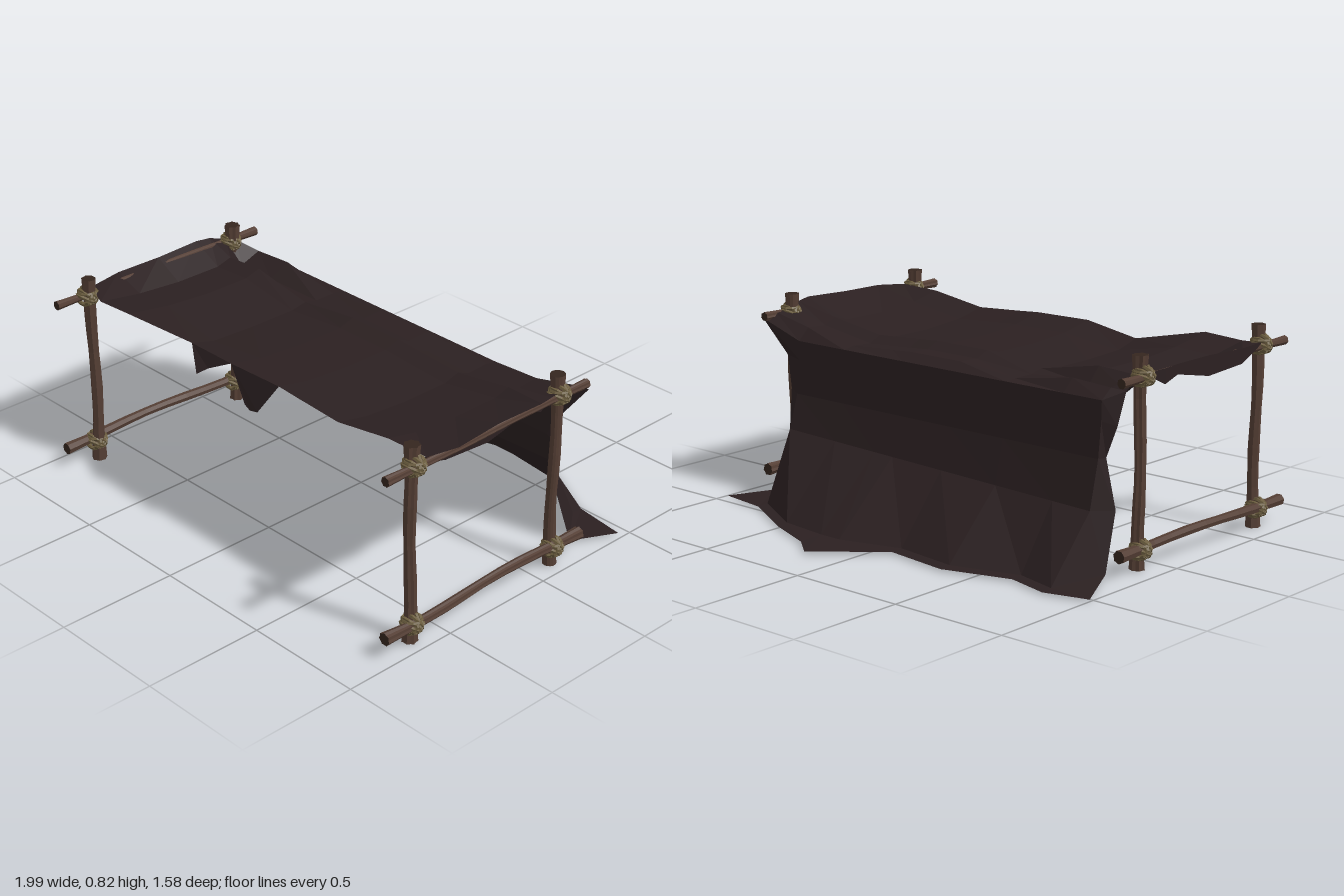
import * as THREE from 'three';

const mat = (name, color, extra = {}) => {
  const m = new THREE.MeshStandardMaterial({ color, flatShading: true, ...extra });
  m.name = name;
  return m;
};

export function createModel() {
  const wood = mat('bark brown', 0x543e34);
  const cutWood = mat('dark cut end', 0x35261f);
  const rope = mat('rope olive', 0x6a5c3e);
  const cloth = mat('dark cloth', 0x2b2021, { side: THREE.DoubleSide });
  const model = new THREE.Group();
  model.name = 'leanToShelter';

  const add = (name, geo, material, parent = model) => {
    const m = new THREE.Mesh(geo, material);
    m.name = name;
    parent.add(m);
    return m;
  };

  // Crooked stick with ridged bark, thicker at the ends
  const stick = (name, length, r, bend, seed) => {
    const geo = new THREE.CylinderGeometry(1, 1, length, 14, 10);
    const p = geo.attributes.position;
    for (let i = 0; i < p.count; i++) {
      const x = p.getX(i), y = p.getY(i), z = p.getZ(i), t = y / length + 0.5;
      const ridge = 1 + 0.1 * Math.cos(Math.atan2(x, z) * 7 + seed);
      const rad = r * ridge * (0.88 + 0.3 * Math.pow(Math.abs(2 * t - 1), 4) + 0.05 * Math.sin(t * 17 + seed));
      const arc = Math.sin(Math.PI * t);
      p.setXYZ(i, x * rad + bend * arc * Math.sin(5 * t + seed), y,
        z * rad + bend * arc * Math.cos(4 * t + seed));
    }
    geo.computeVertexNormals();
    return add(name, geo, [wood, cutWood, cutWood]);
  };

  // Diagonal rope wraps around a crossing
  const lashing = (x, y, z) => {
    const g = new THREE.Group();
    g.name = 'lashing';
    g.position.set(x, y, z);
    for (const side of [-1, 1]) {
      for (const k of [-1, 0, 1]) {
        const a = side * Math.PI / 4 + k * 0.22;
        const ring = add('ropeWrap', new THREE.TorusGeometry(0.039, 0.008, 5, 10), rope, g);
        ring.rotation.x = a;
        ring.position.set(0, -Math.sin(a) * 0.012 * k, Math.cos(a) * 0.012 * k);
      }
      const band = add('ropeBand', new THREE.TorusGeometry(0.036, 0.007, 5, 10), rope, g);
      band.rotation.x = Math.PI / 2;
      band.position.y = side * 0.02;
    }
    model.add(g);
  };

  // Two side frames: front and back posts, upper and lower rails
  const frames = [
    { side: 'right', post: -0.893, rail: -0.92, z: [0.645, -0.105], seed: 1 },
    { side: 'left', post: 0.928, rail: 0.95, z: [0.638, -0.112], seed: 2.6 },
  ];
  for (const f of frames) {
    f.z.forEach((z, i) => {
      stick(f.side + (i ? 'BackPost' : 'FrontPost'), 0.82, 0.0245, 0.009, f.seed + i * 2)
        .position.set(f.post, 0.418, z);
      for (const y of [0.087, 0.748]) lashing((f.post + f.rail) / 2, y, z);
    });
    [0.093, 0.746].forEach((y, i) => {
      const rail = stick(f.side + (i ? 'UpperRail' : 'LowerRail'), 1.04, i ? 0.0155 : 0.0205, i ? 0.003 : 0.011, f.seed + i);
      rail.rotation.x = Math.PI / 2;
      rail.position.set(f.rail, y, 0.268);
    });
  }

  // Draped sheet: inner columns with front edge heights, front depths and ground depths
  const X = [-0.82, -0.64, -0.36, -0.08, 0.18, 0.28, 0.5, 0.76];
  const top = [0.752, 0.762, 0.71, 0.742, 0.742, 0.735, 0.722, 0.762];
  const frontZ = [0.645, 0.645, 0.56, 0.6, 0.59, 0.59, 0.59, 0.59];
  const groundZ = [-0.57, -0.525, -0.61, -0.575, -0.79, -0.71, -0.625, -0.485];
  const sag = (d, extra = 0) => top.map((h, i) => Math.max(0.672, h - d - (i < 3 ? extra : 0)));
  const all = v => X.map(() => v);
  const row = (rightEnd, leftEnd, ys, zs) => [rightEnd, ...X.map((x, i) => [x, ys[i], zs[i]]), leftEnd];

  const roof = [
    row([-0.93, 0.765, 0.61], [0.955, 0.768, 0.59], top, frontZ),
    row([-0.955, 0.77, 0.45], [0.992, 0.775, 0.47], sag(0.03), all(0.45)),
    row([-0.945, 0.775, 0.25], [0.978, 0.78, 0.25], sag(0.045), all(0.25)),
    row([-0.955, 0.778, 0.04], [0.99, 0.785, 0.04], sag(0.045), all(0.04)),
    row([-0.95, 0.772, -0.03], [0.975, 0.778, -0.03], sag(0.025), all(-0.03)),
    row([-0.92, 0.758, -0.09], [0.955, 0.765, -0.09], sag(0.05, 0.04), all(-0.09)),
  ];
  const wall = [
    row([-0.9, 0.75, -0.13], [0.945, 0.758, -0.19], sag(0.045), all(-0.185)),
    row([-0.88, 0.7, -0.17], [0.975, 0.735, -0.235], all(0.668), all(-0.238)),
    row([-0.865, 0.57, -0.2], [0.868, 0.59, -0.2], all(0.59), all(-0.24)),
    row([-0.83, 0.45, -0.22], [0.828, 0.46, -0.22], all(0.45), all(-0.255)),
    row([-0.862, 0.25, -0.2], [0.79, 0.35, -0.235], X.map(x => 0.286 + 0.03 * x), all(-0.3)),
    row([-0.87, 0.02, -0.265], [0.89, 0.02, -0.27], all(0.02), groundZ.map(z => Math.max(-0.6, z + 0.05))),
    row([-1, 0.016, -0.52], [0.98, 0.016, -0.455], all(0.016), groundZ),
  ];

  // Surface through equal-length rows of points
  const loft = (name, lines) => {
    const geo = new THREE.BufferGeometry();
    const idx = [], n = lines[0].length;
    for (let r = 0; r < lines.length - 1; r++) {
      for (let c = 0; c < n - 1; c++) {
        const a = r * n + c, b = a + n;
        idx.push(a, a + 1, b, a + 1, b + 1, b);
      }
    }
    geo.setAttribute('position', new THREE.Float32BufferAttribute(lines.flat(2), 3));
    geo.setIndex(idx);
    geo.computeVertexNormals();
    add(name, geo, cloth);
  };
  loft('clothSheet', [...roof, ...wall]);

  // Wavy hem drooping along the right side, and inside the left rail
  const drops = [0.01, 0.06, 0.08, 0.04, 0.06, 0.01];
  const hem = (name, edge) => loft(name, [edge, edge.map(([x, y, z], i) => [x, y - drops[i], z])]);
  hem('rightHem', roof.map(r => r[0]));
  hem('leftHem', roof.map(r => [0.925, r.at(-1)[1] - 0.02, r.at(-1)[2]]));

  // Loose points of cloth hanging from the front edge
  const flap = (name, pts) => {
    const g = new THREE.BufferGeometry();
    g.setAttribute('position', new THREE.Float32BufferAttribute(pts.flat(), 3));
    g.setIndex(pts.slice(2).flatMap((_, i) => [0, i + 1, i + 2]));
    g.computeVertexNormals();
    add(name, g, cloth);
  };
  flap('smallFrontFlap', [[-0.36, 0.71, 0.56], [-0.24, 0.65, 0.64], [-0.2, 0.68, 0.615], [-0.08, 0.742, 0.6]]);
  flap('largeFrontFlap', [[-0.08, 0.742, 0.6], [0.03, 0.62, 0.63], [0.06, 0.608, 0.632], [0.1, 0.615, 0.63], [0.18, 0.742, 0.59]]);

  return model;
}
